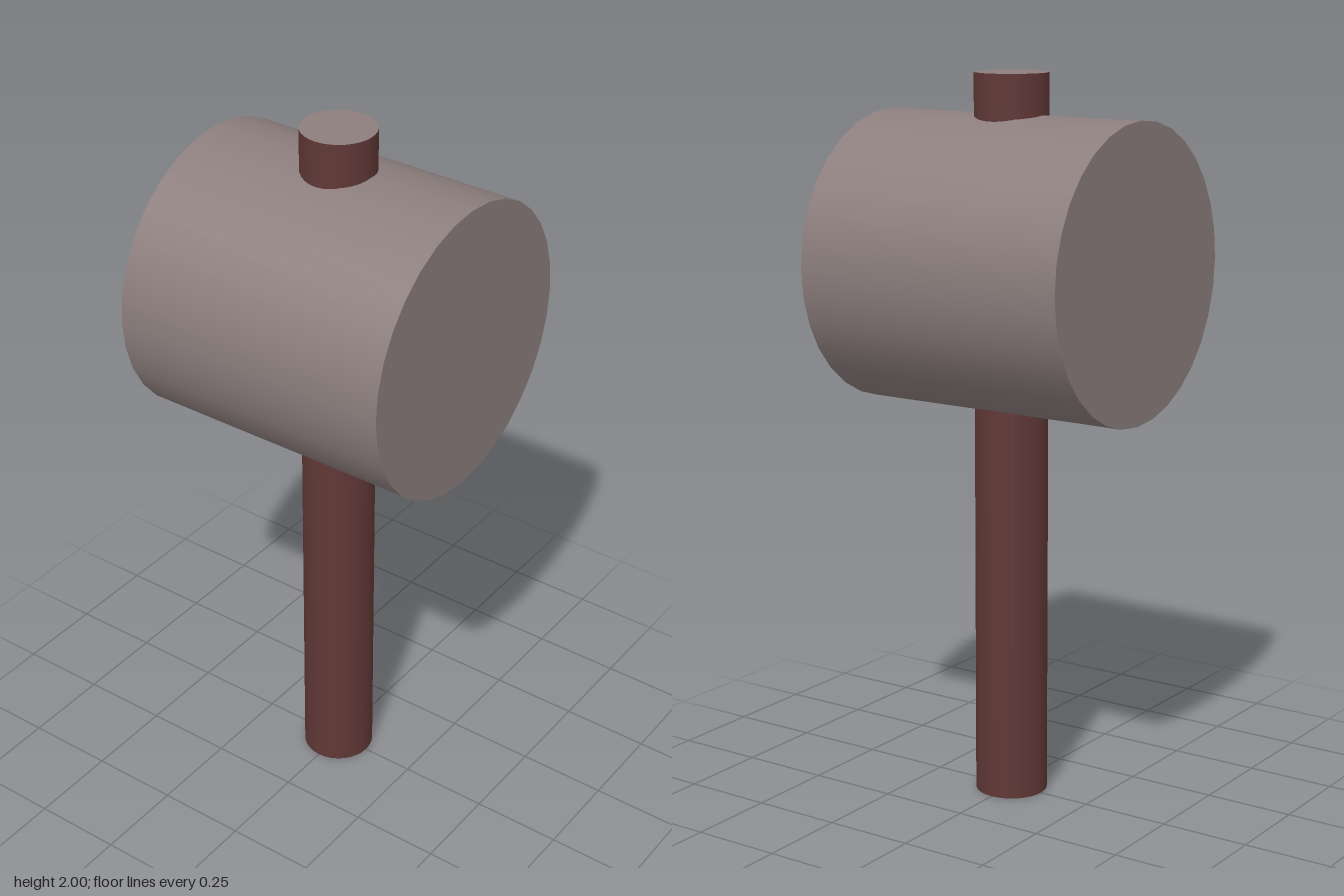
import * as THREE from 'three';

export function createModel() {
  const model = new THREE.Group();
  model.name = 'mallet';

  const headGrey = new THREE.MeshStandardMaterial({ name: 'warm grey', color: 0x8c7e7d });
  const handleBrown = new THREE.MeshStandardMaterial({ name: 'dark reddish brown', color: 0x5f3836 });

  // Upright cylinder with separate materials for the side and both end caps
  const rod = (name, radius, length, y, side, caps) => {
    const geometry = new THREE.CylinderGeometry(radius, radius, length, 32);
    const mesh = new THREE.Mesh(geometry, [side, caps, caps]);
    mesh.name = name;
    mesh.position.y = y;
    model.add(mesh);
    return mesh;
  };

  // Handle runs through the head, with grey end faces
  rod('handle', 0.1, 2, 1, handleBrown, headGrey);

  // Round head lies along z
  rod('head', 0.4, 0.8, 1.49, headGrey, headGrey).rotation.x = Math.PI / 2;

  return model;
}
